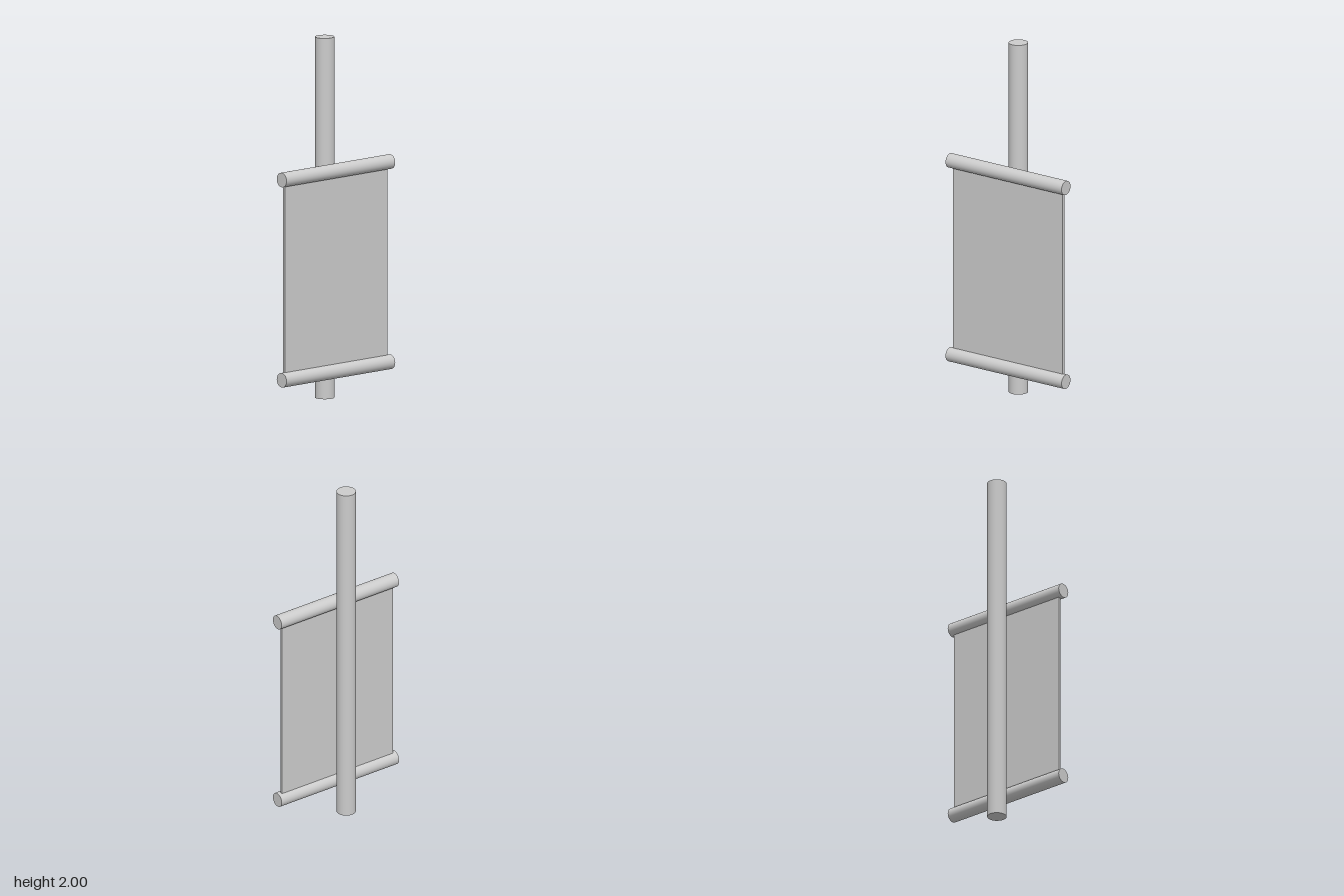
import * as THREE from 'three';

export function createModel() {
  const group = new THREE.Group();
  const material = new THREE.MeshStandardMaterial({ color: 0xcccccc });

  const add = (name, geometry, x, y, z) => {
    const mesh = new THREE.Mesh(geometry, material);
    mesh.name = name;
    mesh.position.set(x, y, z);
    group.add(mesh);
    return mesh;
  };

  // Upright pole
  add('pole', new THREE.CylinderGeometry(0.053, 0.053, 2, 48), -0.04, 1, 0);

  // Horizontal rods holding the banner at top and bottom
  const rod = new THREE.CylinderGeometry(0.04, 0.04, 0.794, 48).rotateX(Math.PI / 2);
  add('topRod', rod, 0.053, 1.27, 0);
  add('bottomRod', rod, 0.053, 0.16, 0);

  // Thin banner sheet, its ends tucked into the rods
  add('banner', new THREE.BoxGeometry(0.015, 1.11, 0.75), 0.047, 0.715, 0);

  return group;
}
